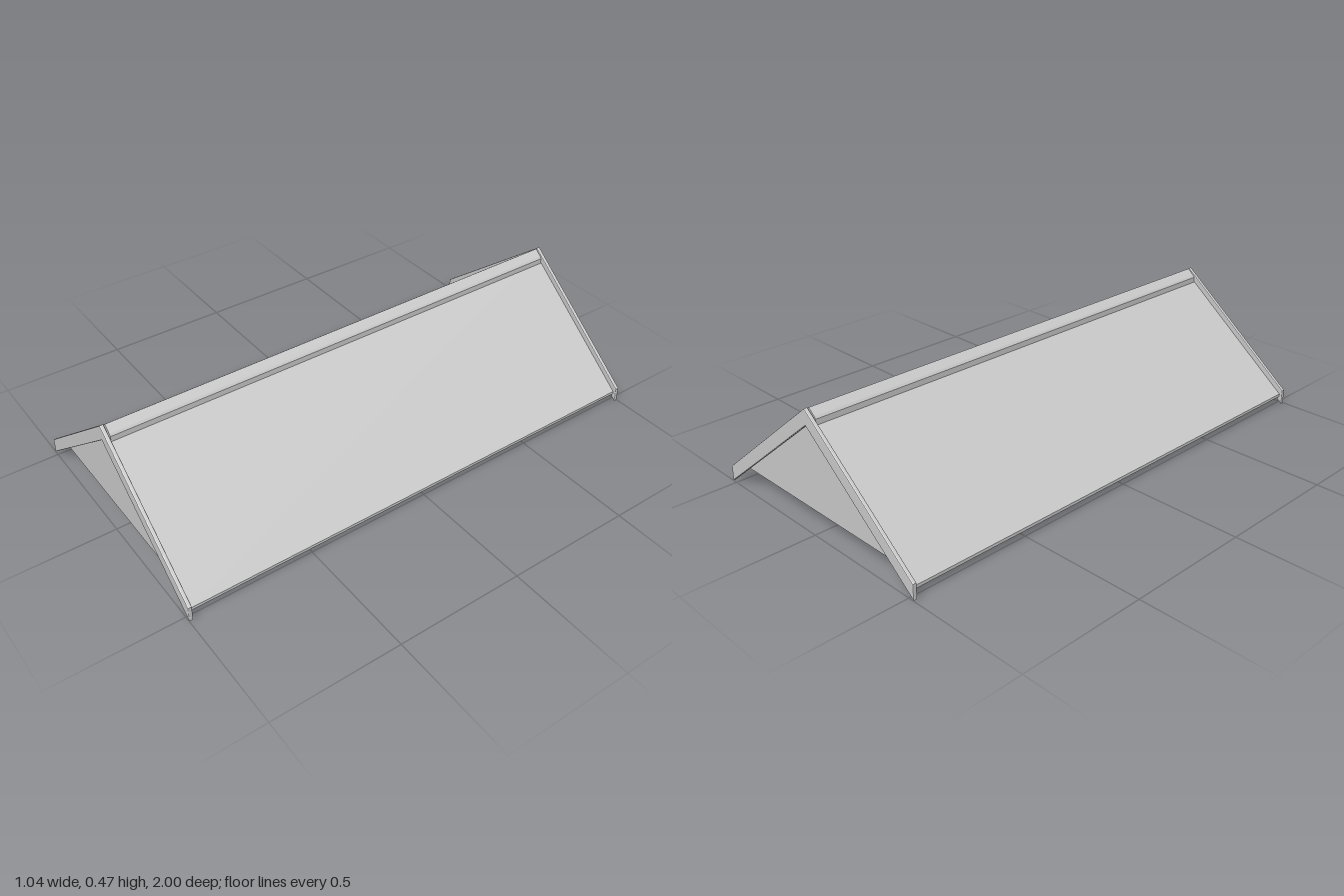
import * as THREE from 'three';

const material = new THREE.MeshStandardMaterial({ color: 0xcccccc });

// Extrudes an x/y outline between two z positions, with an optional small bevel.
function slab(name, points, z0, z1, bevel = 0) {
  const shape = new THREE.Shape(points.map(([x, y]) => new THREE.Vector2(x, y)));
  const geometry = new THREE.ExtrudeGeometry(shape, {
    depth: z1 - z0 - 2 * bevel,
    bevelEnabled: bevel > 0,
    bevelThickness: bevel,
    bevelSize: bevel,
    bevelOffset: -bevel,
    bevelSegments: 2,
  });
  geometry.translate(0, 0, z0 + bevel);
  const mesh = new THREE.Mesh(geometry, material);
  mesh.name = name;
  return mesh;
}

// Mirrored inverted V: apex and eave heights of the top and underside.
function chevron(halfWidth, topApex, topEave, underApex, underEave) {
  return [
    [0, topApex], [-halfWidth, topEave], [-halfWidth, underEave],
    [0, underApex], [halfWidth, underEave], [halfWidth, topEave],
  ];
}

export function createModel() {
  const group = new THREE.Group();
  group.name = 'gableRoof';

  // Two thin sloping roof panels joined at the ridge
  group.add(slab('roofPanels', chevron(0.51, 0.446, 0.042, 0.432, 0.03), -0.987, 0.987));

  // Ridge cap sitting on the panels
  group.add(slab('ridgeCap', [
    [0, 0.472], [-0.028, 0.449], [-0.034, 0.441], [-0.034, 0.412],
    [0, 0.436], [0.034, 0.412], [0.034, 0.441], [0.028, 0.449],
  ], -0.98, 0.98));

  for (const side of [1, -1]) {
    const end = new THREE.Group();
    end.name = side > 0 ? 'frontEnd' : 'backEnd';

    // Barge boards along the sloping edges
    end.add(slab('bargeBoards', chevron(0.522, 0.474, 0.06, 0.412, 0), 0.984, 1, 0.004));

    // Triangular gable wall just behind the barge boards
    end.add(slab('gableWall', [[-0.455, 0.072], [0.455, 0.072], [0, 0.434]], 0.958, 0.972));

    if (side < 0) end.rotation.y = Math.PI;
    group.add(end);
  }
  return group;
}
